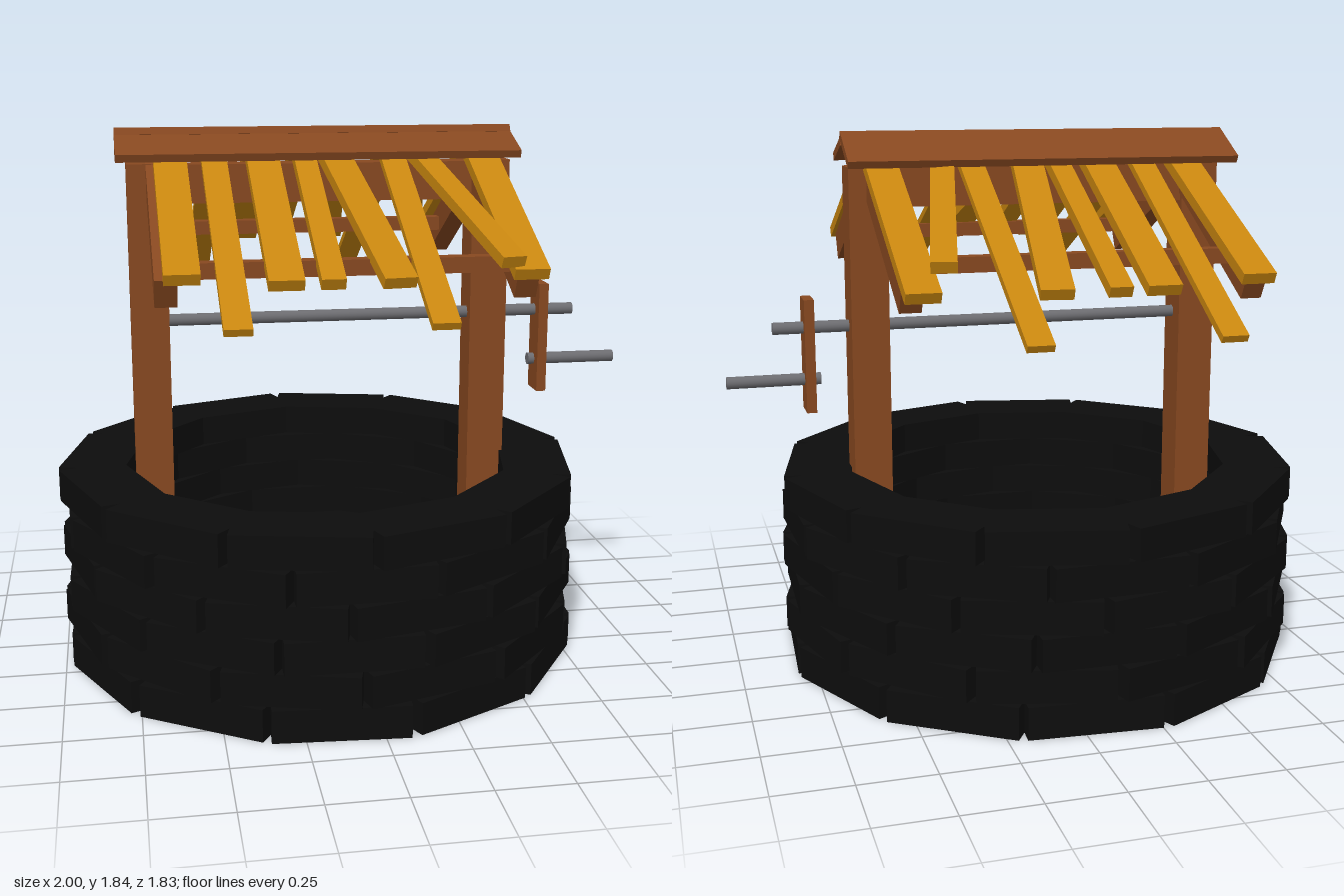
import * as THREE from 'three';

const mat = (color) => new THREE.MeshStandardMaterial({ color, flatShading: true });
const stone = mat(0x0d0d0d), wood = mat(0x874820), thatch = mat(0xc8860f);
const water = mat(0x2aa6d2), metal = mat(0x6c6c70);

function add(parent, name, geometry, material, x, y, z) {
  const mesh = new THREE.Mesh(geometry, material);
  mesh.name = name;
  mesh.position.set(x, y, z);
  parent.add(mesh);
  return mesh;
}

const box = (parent, name, material, w, h, d, x, y, z) =>
  add(parent, name, new THREE.BoxGeometry(w, h, d), material, x, y, z);

// Plank whose centre line runs between two points
function plank(parent, name, material, from, to, width, thickness) {
  const a = new THREE.Vector3(...from), b = new THREE.Vector3(...to);
  const mid = a.clone().add(b).multiplyScalar(0.5);
  const mesh = box(parent, name, material, width, thickness, a.distanceTo(b), mid.x, mid.y, mid.z);
  mesh.lookAt(b);
  return mesh;
}

// Round bar along x
function rod(parent, name, x0, x1, y, z) {
  const geo = new THREE.CylinderGeometry(0.021, 0.021, x1 - x0, 16).rotateZ(Math.PI / 2);
  const mesh = add(parent, name, geo, metal.clone(), (x0 + x1) / 2, y, z);
  mesh.material.flatShading = false;
}

function group(parent, name) {
  const g = new THREE.Group();
  g.name = name;
  parent.add(g);
  return g;
}

export function createModel() {
  const model = new THREE.Group();
  model.name = 'well';
  const cx = -0.085;

  let seed = 7;
  const jitter = (amount) => {
    seed = (seed * 16807) % 2147483647;
    return (seed / 2147483647 - 0.5) * 2 * amount;
  };

  // Wall: six staggered courses of twelve blocks
  const wall = group(model, 'wall');
  const courses = 6, blocks = 12, pitch = 0.1127;
  for (let c = 0; c < courses; c++) {
    const course = group(wall, 'course');
    course.position.set(cx, (c + 0.5) * pitch, 0);
    course.rotation.y = (c % 2) * Math.PI / blocks + jitter(0.06);
    for (let i = 0; i < blocks; i++) {
      const a = (i / blocks) * Math.PI * 2, r = 0.77 + jitter(0.004);
      const b = box(course, 'block', stone, 0.44, 0.109, 0.228, Math.sin(a) * r, 0, Math.cos(a) * r);
      b.rotation.y = a + jitter(0.02);
    }
  }

  // Water
  const pool = add(model, 'water', new THREE.CylinderGeometry(0.657, 0.657, 0.115, 48), water, cx, 0.0585, 0);
  pool.material.flatShading = false;

  // Posts and the beam joining them
  const frame = group(model, 'frame');
  for (const x of [-0.67, 0.515]) box(frame, 'post', wood, 0.13, 1.7, 0.132, x, 0.87, 0);
  box(frame, 'ridgeBeam', wood, 1.06, 0.13, 0.1, -0.077, 1.65, 0);

  // Sloping rafters and the rails between them
  for (const x of [-0.635, 0.485]) {
    plank(frame, 'frontRafter', wood, [x, 1.68, 0.03], [x, 1.38, 0.635], 0.07, 0.1);
    plank(frame, 'backRafter', wood, [x, 1.68, -0.03], [x, 1.358, -0.62], 0.07, 0.1);
  }
  for (const z of [0.57, -0.46]) box(frame, 'rail', wood, 1.06, 0.05, 0.055, -0.077, 1.44, z);

  // Roof slats: ridge x, eave x, width, then reach and eave height front and back
  const roof = group(model, 'roof');
  const slats = [
    [-0.59, -0.59, 0.11, 0.72, 1.435, 0.75, 1.4],
    [-0.443, -0.443, 0.085, 0.908, 1.31, 0.91, 1.245],
    [-0.28, -0.28, 0.11, 0.72, 1.41, 0.745, 1.375],
    [-0.138, -0.138, 0.075, 0.72, 1.41, 0.745, 1.375],
    [-0.04, 0.065, 0.105, 0.725, 1.41, 0.745, 1.375],
    [0.165, 0.165, 0.085, 0.908, 1.31, 0.91, 1.245],
    [0.25, 0.415, 0.08, 0.725, 1.465, 0.755, 1.47],
    [0.475, 0.475, 0.11, 0.72, 1.425, 0.745, 1.38],
  ];
  for (const [x0, x1, w, zf, yf, zb, yb] of slats) {
    const t = zf > 0.8 ? 0.025 : 0.038;
    plank(roof, 'frontSlat', thatch, [x0, 1.76, 0.01], [x1, yf, zf], w, t);
    plank(roof, 'backSlat', thatch, [x0, 1.76, -0.01], [x1, yb, -zb], w, t);
  }

  // Ridge cap
  plank(roof, 'frontCap', wood, [-0.0875, 1.802, 0], [-0.0875, 1.745, 0.152], 1.365, 0.027);
  plank(roof, 'backCap', wood, [-0.0875, 1.825, 0.004], [-0.0875, 1.733, -0.162], 1.365, 0.027);

  // Winch
  const winch = group(model, 'winch');
  rod(winch, 'axle', -0.62, 0.84, 1.18, 0.008);
  box(winch, 'crankArm', wood, 0.034, 0.39, 0.105, 0.719, 1.085, 0.015);
  rod(winch, 'crankHandle', 0.68, 1.0, 1.0, 0.012);

  return model;
}
